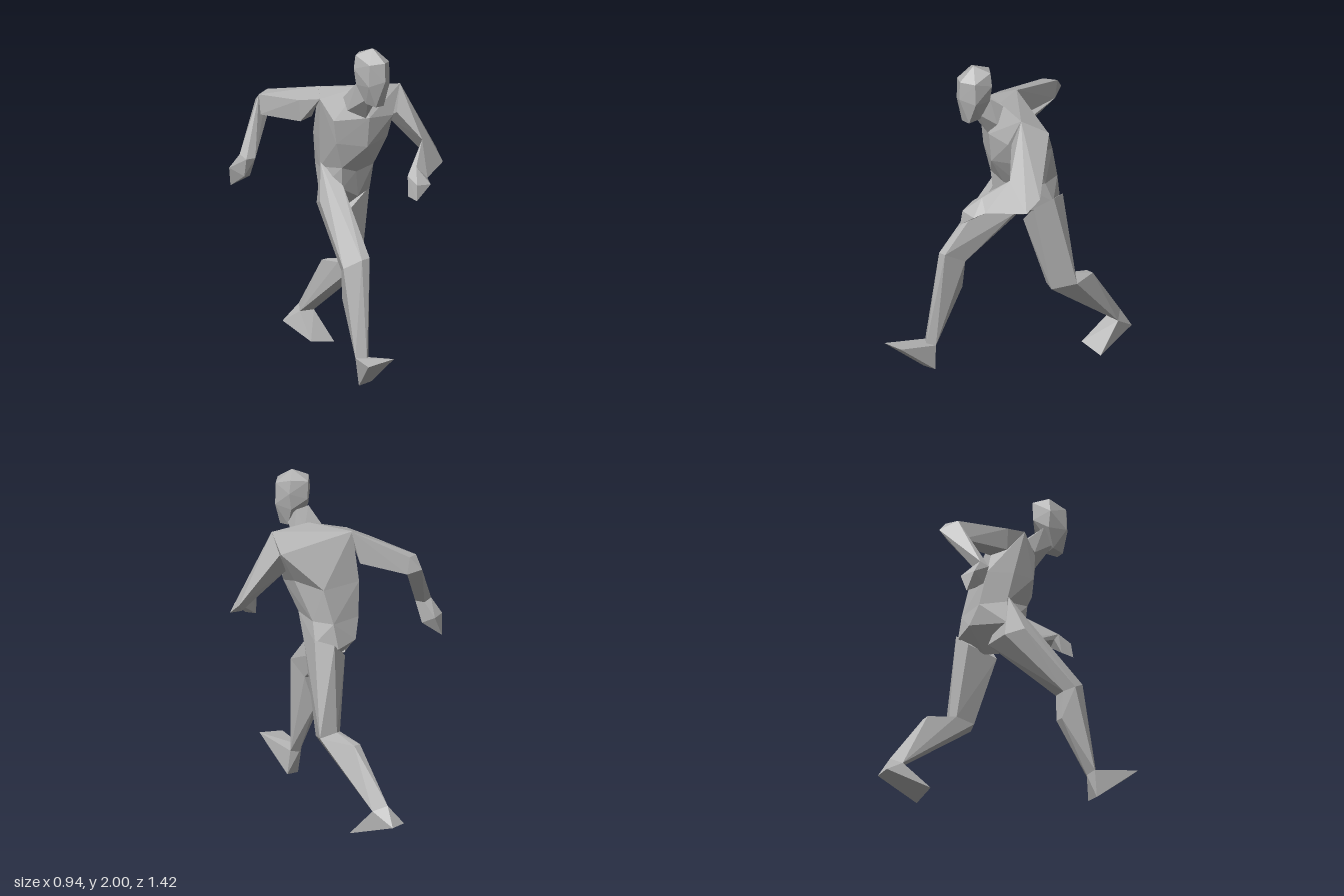
import * as THREE from 'three';
import { ConvexGeometry } from 'three/addons/geometries/ConvexGeometry.js';

// Each faceted body part is the hull of the cross-sections at its two ends.
export function createModel() {
  const group = new THREE.Group();
  const clay = new THREE.MeshStandardMaterial({ color: 0xb4b4b4, flatShading: true });
  clay.name = 'greyClay';

  const part = (name, ...sections) => {
    const pts = sections.flat().map((p) => new THREE.Vector3(...p));
    const mesh = new THREE.Mesh(new ConvexGeometry(pts), clay);
    mesh.name = name;
    group.add(mesh);
  };

  // Head with a ridge down the face, and neck
  const cx = -0.045;
  const pair = (w, y, z) => [[cx - w, y, z], [cx + w, y, z]];
  part('head', [[cx, 2, 0.3], [cx, 1.93, 0.41], [cx, 1.82, 0.415], [cx, 1.95, 0.175], [cx, 1.84, 0.18]],
    pair(0.075, 1.92, 0.36), pair(0.08, 1.96, 0.24), pair(0.093, 1.88, 0.24),
    pair(0.075, 1.78, 0.24), pair(0.08, 1.79, 0.36),
    pair(0.03, 1.66, 0.365), pair(0.045, 1.67, 0.29));
  part('neck',
    [[-0.1, 1.78, 0.22], [0.01, 1.78, 0.22], [-0.08, 1.7, 0.3], [0, 1.7, 0.3]],
    [[-0.1, 1.67, 0.1], [0.05, 1.7, 0.12], [0.05, 1.62, 0.2], [-0.02, 1.55, 0.21], [-0.11, 1.6, 0.15]]);

  // Torso, twisted at the shoulders
  const shoulders = [[-0.21, 1.66, 0.02], [-0.11, 1.69, -0.11], [0, 1.72, 0.13],
    [0.25, 1.71, 0.2], [0.33, 1.62, 0.06]];
  const chestFront = [[-0.18, 1.54, 0.11], [0, 1.55, 0.22], [0.17, 1.54, 0.23]];
  const ribs = [[0, 1.37, 0.2], [0.17, 1.4, 0.18], [0.21, 1.43, 0.06], [0.17, 1.4, -0.13],
    [-0.1, 1.4, -0.17], [-0.17, 1.4, -0.03], [-0.16, 1.4, 0.11]];
  const waist = [[0, 1.2, 0.1], [0.14, 1.22, 0.09], [0.185, 1.2, -0.06], [0.15, 1.2, -0.19],
    [-0.06, 1.2, -0.2], [-0.14, 1.22, -0.06], [-0.11, 1.24, 0.1]];
  const pelvis = [[0.17, 1.05, 0.02], [0.21, 1.08, -0.1], [0.14, 1.05, -0.22], [0, 1.08, -0.23],
    [-0.15, 1.08, -0.06], [-0.1, 1.11, 0.09], [0.03, 1.04, 0.08], [-0.02, 0.94, -0.03], [0.04, 0.94, -0.1]];
  part('chest', shoulders, chestFront, ribs);
  part('abdomen', ribs, waist);
  part('pelvis', waist, pelvis);

  // Left arm, bent in front of the body
  const leftElbow = [[0.47, 1.3, 0.26], [0.45, 1.23, 0.35], [0.3, 1.39, 0.34], [0.4, 1.24, 0.3]];
  const leftWrist = [[0.1, 1.23, 0.445], [0.17, 1.27, 0.44], [0.23, 1.2, 0.47], [0.14, 1.21, 0.44]];
  part('leftUpperArm', [[0.25, 1.71, 0.2], [0.34, 1.62, 0.06], [0.2, 1.55, 0.23], [0.24, 1.49, 0.1]], leftElbow);
  part('leftForearm', leftElbow, leftWrist);
  part('leftHand', leftWrist, [[0.09, 1.1, 0.54], [0.09, 1.11, 0.46], [0.2, 1.18, 0.535], [0.1, 1.19, 0.53]]);

  // Right arm, swung back
  const rightElbow = [[-0.205, 1.53, -0.565], [-0.17, 1.6, -0.5], [-0.26, 1.59, -0.47],
    [-0.17, 1.49, -0.48], [-0.27, 1.475, -0.45]];
  const rightWrist = [[-0.44, 1.25, -0.37], [-0.38, 1.25, -0.36], [-0.37, 1.26, -0.44], [-0.44, 1.27, -0.43]];
  part('rightUpperArm', [[-0.21, 1.66, 0.02], [-0.1, 1.69, -0.11], [-0.25, 1.63, -0.12],
    [-0.24, 1.5, -0.12], [-0.12, 1.5, -0.16]], rightElbow);
  part('rightForearm', rightElbow, rightWrist);
  part('rightHand', rightWrist, [[-0.47, 1.18, -0.49], [-0.37, 1.18, -0.52], [-0.37, 1.13, -0.42],
    [-0.43, 1.14, -0.4], [-0.434, 1.06, -0.52]]);

  // Left leg, pushing off behind
  const leftKnee = [[0.14, 0.53, -0.11], [0.2, 0.51, -0.095], [0.295, 0.54, -0.21],
    [0.19, 0.56, -0.25], [0.14, 0.55, -0.23]];
  const leftAnkle = [[0.155, 0.17, -0.59], [0.255, 0.165, -0.58], [0.2, 0.2, -0.65]];
  part('leftThigh', [[0.05, 0.94, -0.01], [0.17, 1.06, 0.02], [0.215, 1.1, -0.1],
    [0.17, 1.08, -0.215], [0.06, 0.99, -0.2]], leftKnee);
  part('leftCalf', leftKnee, [[0.17, 0.52, -0.41], [0.22, 0.52, -0.41]], leftAnkle);
  part('leftFoot', leftAnkle, [[0.13, 0.09, -0.715], [0.23, 0.085, -0.715], [0.105, 0.03, -0.43], [0.275, 0, -0.42]]);

  // Right leg, striding forward
  const rightKnee = [[-0.22, 0.77, 0.41], [-0.165, 0.775, 0.415], [-0.285, 0.71, 0.32],
    [-0.135, 0.7, 0.28], [-0.25, 0.68, 0.26]];
  const rightAnkle = [[-0.25, 0.18, 0.49], [-0.3, 0.2, 0.445], [-0.205, 0.19, 0.45], [-0.25, 0.18, 0.42]];
  part('rightThigh', [[-0.02, 0.95, 0], [-0.1, 1.13, 0.1], [-0.21, 1.04, 0.02], [-0.145, 1.25, -0.05],
    [-0.15, 1.0, -0.08], [-0.03, 0.97, -0.12]], rightKnee);
  part('rightCalf', rightKnee, [[-0.19, 0.51, 0.25], [-0.24, 0.51, 0.255]], rightAnkle);
  part('rightFoot', rightAnkle, [[-0.29, 0.035, 0.465], [-0.195, 0.045, 0.465], [-0.4, 0.215, 0.68], [-0.23, 0.24, 0.71]]);

  return group;
}
